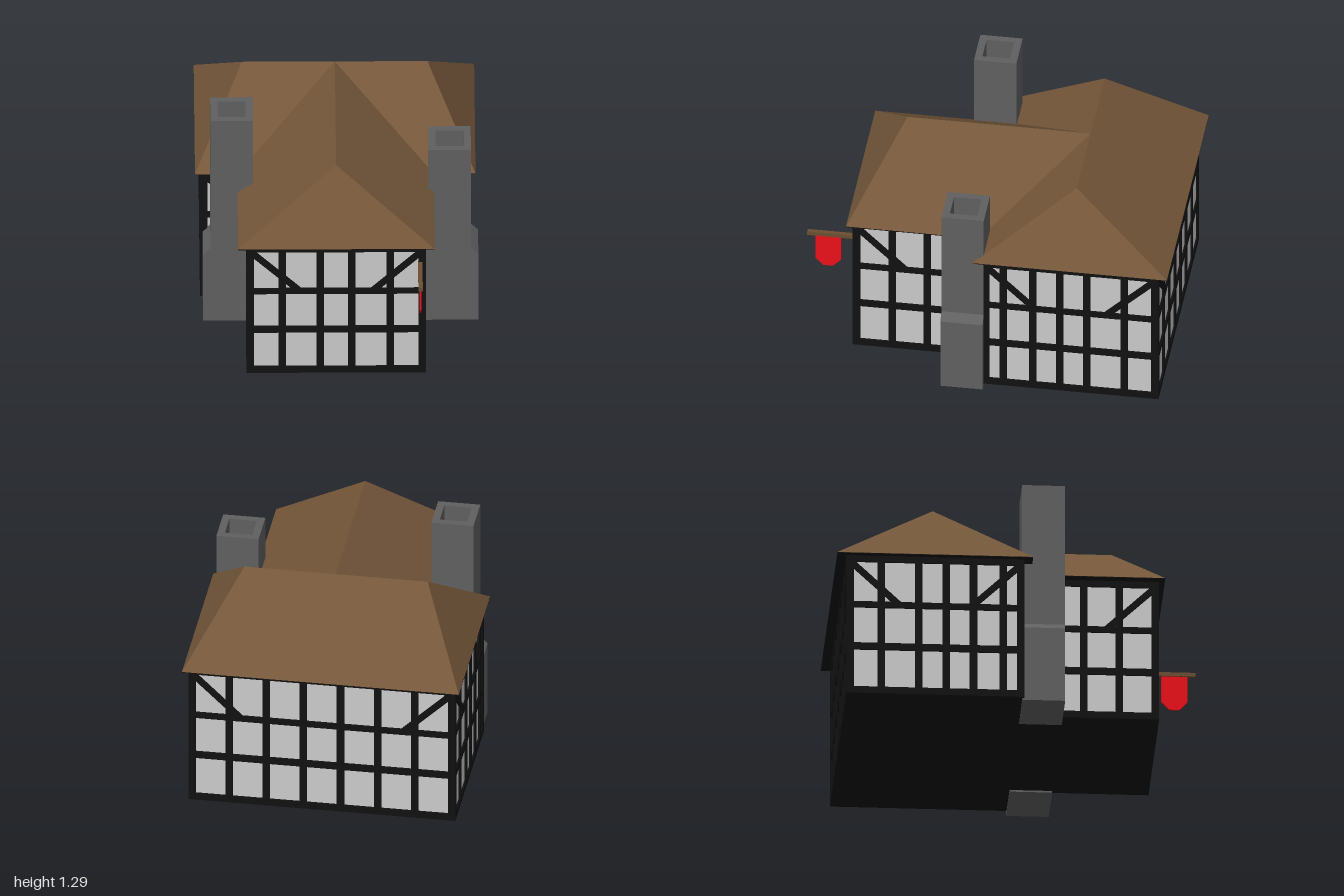
import * as THREE from 'three';

const mat = (color) => new THREE.MeshStandardMaterial({ color, flatShading: true, side: THREE.DoubleSide });
const plaster = mat(0xcccccc), timber = mat(0x111111), tile = mat(0x75573a);
const stone = mat(0x606060), wood = mat(0x6b4e33), cloth = mat(0xec101a);

const T = 0.04;       // timber width
const RELIEF = 0.01;  // how far timbers stand out from the plaster
const EAVE = 0.83, RIDGE = 1.205, BASE = 0.01;

function add(parent, name, geometry, material, x = 0, y = 0, z = 0) {
  const mesh = new THREE.Mesh(geometry, material);
  mesh.name = name;
  mesh.position.set(x, y, z);
  parent.add(mesh);
  return mesh;
}

// Box given by its min and max corners
function box(parent, name, material, [x0, y0, z0], [x1, y1, z1]) {
  return add(parent, name, new THREE.BoxGeometry(x1 - x0, y1 - y0, z1 - z0), material,
    (x0 + x1) / 2, (y0 + y1) / 2, (z0 + z1) / 2);
}

function extrude(points, depth, hole) {
  const shape = new THREE.Shape(points.map(([x, y]) => new THREE.Vector2(x, y)));
  if (hole) shape.holes.push(new THREE.Path(hole.map(([x, y]) => new THREE.Vector2(x, y))));
  return new THREE.ExtrudeGeometry(shape, { depth, bevelEnabled: false });
}

// Flat polygons, each listed counter-clockwise from outside
function facets(polygons) {
  const pos = [];
  for (const p of polygons)
    for (let i = 1; i < p.length - 1; i++) pos.push(...p[0], ...p[i], ...p[i + 1]);
  const g = new THREE.BufferGeometry();
  g.setAttribute('position', new THREE.Float32BufferAttribute(pos, 3));
  g.computeVertexNormals();
  return g;
}

// Timber frame of one wall: local x runs along the wall, +z points outward
function frame(parent, name, width, posts, braces, x, z, turn) {
  const g = new THREE.Group();
  g.name = name;
  g.position.set(x, 0, z);
  g.rotation.y = turn;
  parent.add(g);
  const h = width / 2, back = -RELIEF * 2;
  for (const [y0, y1] of [[BASE, 0.05], [0.27, 0.31], [0.52, 0.555], [0.79, EAVE]])
    box(g, 'rail', timber, [-h, y0, back], [h, y1, 0]);
  for (const p of [-h + T / 2, ...posts, h - T / 2])
    box(g, 'post', timber, [p - T / 2, BASE, back], [p + T / 2, EAVE, 0]);
  for (const s of braces) {
    const pts = [[0.035, 0.755], [0.25, 0.55], [0.3, 0.55], [0.05, 0.79], [0.035, 0.79]];
    add(g, 'brace', extrude(pts.map(([d, y]) => [s * (h - d), y]), -back), timber, 0, 0, back);
  }
}

function chimney(parent, name, x, top) {
  const g = new THREE.Group();
  g.name = name;
  g.position.set(x, 0, 0);
  parent.add(g);
  const a = 0.115, b = 0.155, r = 0.075, flue = 0.15;
  // Stepped stack
  add(g, 'stack', extrude([[-b, 0], [b, 0], [b, 0.43], [a, 0.47], [a, top - flue],
    [-a, top - flue], [-a, 0.47], [-b, 0.43]], 2 * a), stone);
  // Open flue at the top
  const sq = (s) => [[-s, -s], [s, -s], [s, s], [-s, s]];
  const rim = add(g, 'flue', extrude(sq(a), flue, sq(r).reverse()), stone, 0, top - flue, a);
  rim.rotation.x = -Math.PI / 2;
}

export function createModel() {
  const house = new THREE.Group();
  house.name = 'house';
  const M = { x0: -0.735, x1: 0.72, z0: -0.95, z1: 0.01 };  // main block
  const W = { x0: -0.49, x1: 0.475, z0: 0, z1: 0.75 };      // front wing

  // Plaster walls and dark floor
  for (const [n, b] of [['main', M], ['wing', W]]) {
    const i = RELIEF;
    box(house, n + 'Walls', plaster, [b.x0 + i, BASE + 0.005, b.z0 + i], [b.x1 - i, EAVE - 0.005, b.z1 - i]);
    box(house, n + 'Floor', timber, [b.x0, BASE, b.z0], [b.x1, BASE + 0.02, b.z1]);
  }

  // Timber framing
  const mw = M.x1 - M.x0, md = M.z1 - M.z0, mx = (M.x0 + M.x1) / 2, mz = (M.z0 + M.z1) / 2;
  const ww = W.x1 - W.x0, wx = (W.x0 + W.x1) / 2, wd = W.z1 - M.z1, wz = (W.z1 + M.z1) / 2;
  const evenPosts = (w, n) => Array.from({ length: n - 1 }, (_, i) => -w / 2 + T / 2 + (w - T) * (i + 1) / n);
  frame(house, 'wingFrontFrame', ww, [-0.29, -0.085, 0.085, 0.29], [-1, 1], wx, W.z1, 0);
  frame(house, 'mainBackFrame', mw, evenPosts(mw, 7), [-1, 1], mx, M.z0, Math.PI);
  frame(house, 'mainFrontFrame', mw, [], [-1, 1], mx, M.z1, 0);
  for (const s of [1, -1]) {
    const side = s > 0 ? 'left' : 'right', turn = s * Math.PI / 2;
    const mainPosts = [-0.105, -0.265, -0.413, -0.56, -0.763].map((z) => s * (mz - z));
    const wingPosts = [0.535, 0.345, 0.155].map((z) => s * (wz - z));
    frame(house, side + 'MainFrame', md, mainPosts, [-1, 1], s > 0 ? M.x1 : M.x0, mz, turn);
    frame(house, side + 'WingFrame', wd, wingPosts, [-s], s > 0 ? W.x1 : W.x0, wz, turn);
  }

  // Main hipped roof
  const [l, r, b, f] = [-0.762, 0.747, -1, 0.055];
  const BL = [l, EAVE, b], BR = [r, EAVE, b], FL = [l, EAVE, f], FR = [r, EAVE, f];
  const RL = [-0.507, RIDGE, -0.472], RR = [0.492, RIDGE, -0.472];
  add(house, 'mainRoof', facets([[FL, FR, RR, RL], [BR, BL, RL, RR], [BL, FL, RL], [FR, BR, RR]]), tile);

  // Wing roof, running back into the main slope
  const wl = -0.535, wr = 0.522, wf = 0.78, c = -0.006;
  const A = [wl, EAVE, wf], B = [wr, EAVE, wf], C = [wr, EAVE, f], D = [wl, EAVE, f];
  const P = [c, RIDGE, 0.525], Q = [c, RIDGE, -0.472];
  add(house, 'wingRoof', facets([[A, B, P], [B, C, Q, P], [D, A, P, Q]]), tile);

  // Dark undersides of the eaves
  box(house, 'mainSoffit', timber, [l, EAVE - 0.004, b], [r, EAVE - 0.001, f]);
  box(house, 'wingSoffit', timber, [wl, EAVE - 0.004, 0], [wr, EAVE - 0.001, wf]);

  // Chimneys in the two inner corners
  chimney(house, 'tallChimney', -0.565, 1.293);
  chimney(house, 'shortChimney', 0.606, 1.1);

  // Hanging banner on its pole
  box(house, 'bannerPole', wood, [0.433, 0.702, 0.74], [0.457, 0.724, 1]);
  const banner = add(house, 'banner', extrude([[-0.957, 0.71], [-0.957, 0.55], [-0.915, 0.505],
    [-0.862, 0.505], [-0.817, 0.55], [-0.817, 0.71]], 0.01), cloth, 0.44, 0, 0);
  banner.rotation.y = Math.PI / 2;

  return house;
}
